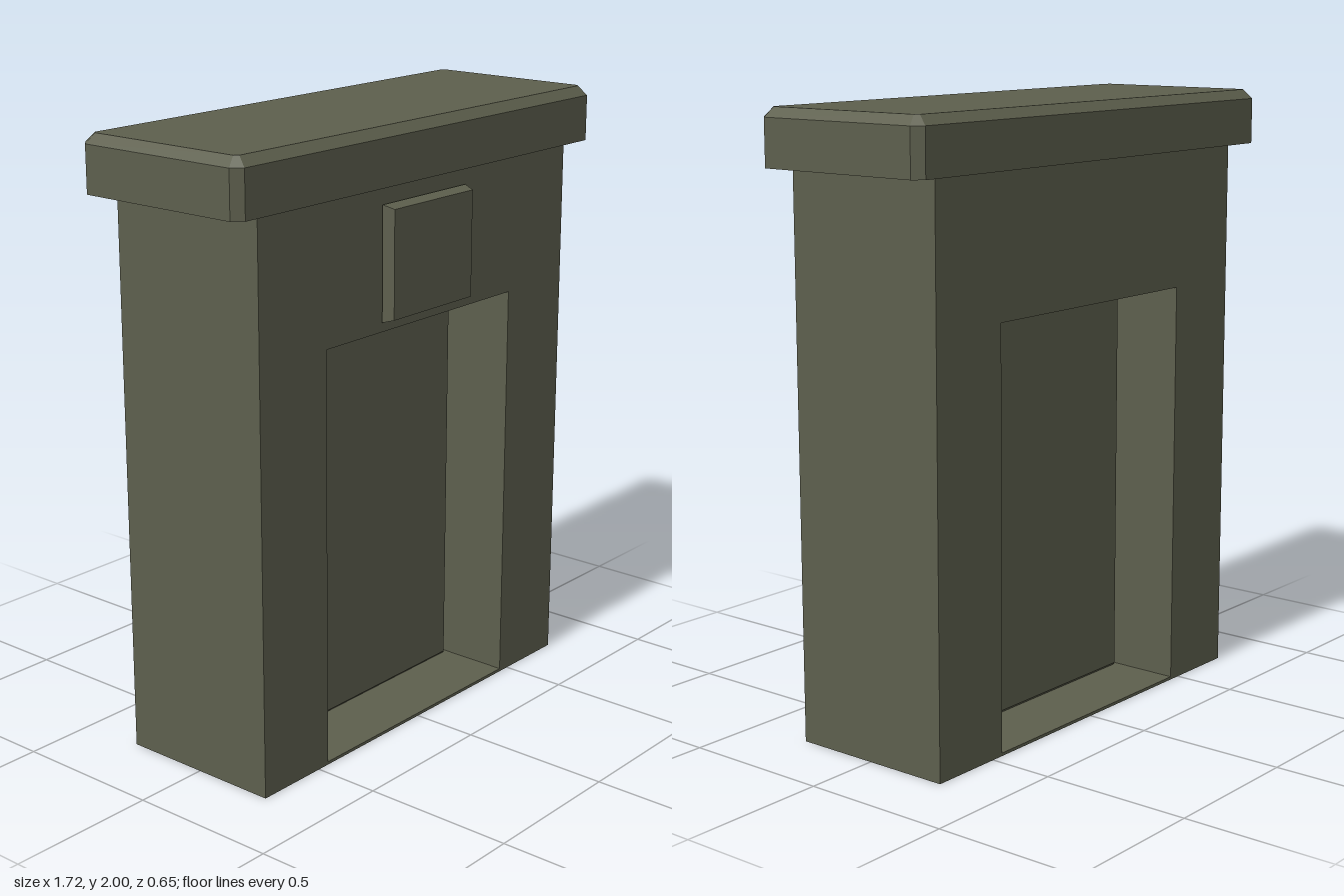
import * as THREE from 'three';

// Rectangle outline with cut corners, counter-clockwise: w and d are half sizes
function cutRect(w, d, c) {
  return c === 0
    ? [[w, -d], [w, d], [-w, d], [-w, -d]]
    : [[w - c, -d], [w, -d + c], [w, d - c], [w - c, d], [-w + c, d], [-w, d - c], [-w, -d + c], [-w + c, -d]];
}

// Solid through convex outlines stacked along z, each section being { z, pts }
function stack(sections) {
  const pos = [];
  const tri = (...pts) => pts.forEach((p) => pos.push(...p));
  const rings = sections.map(({ z, pts }) => pts.map(([x, y]) => [x, y, z]));
  const n = rings[0].length;
  for (let s = 0; s < rings.length - 1; s++) {
    for (let i = 0; i < n; i++) {
      const j = (i + 1) % n;
      const a = rings[s], b = rings[s + 1];
      tri(a[i], a[j], b[j]);
      tri(a[i], b[j], b[i]);
    }
  }
  const first = rings[0], last = rings[rings.length - 1];
  for (let i = 1; i < n - 1; i++) {
    tri(first[0], first[i + 1], first[i]);
    tri(last[0], last[i], last[i + 1]);
  }
  const geo = new THREE.BufferGeometry();
  geo.setAttribute('position', new THREE.Float32BufferAttribute(pos, 3));
  geo.computeVertexNormals();
  return geo;
}

export function createModel() {
  const group = new THREE.Group();
  const olive = new THREE.MeshStandardMaterial({ color: 0x5d5f4d });
  olive.name = 'olive stone';

  const add = (name, geo, x = 0, y = 0, z = 0) => {
    const mesh = new THREE.Mesh(geo, olive);
    mesh.name = name;
    mesh.position.set(x, y, z);
    group.add(mesh);
    return mesh;
  };

  // Wall block with a doorway running right through, above a thin threshold
  const wall = new THREE.Shape([[-0.75, 0], [0.75, 0], [0.75, 1.83], [-0.75, 1.83]]
    .map(([x, y]) => new THREE.Vector2(x, y)));
  wall.holes.push(new THREE.Path([[-0.457, 0.01], [-0.457, 1.365], [0.457, 1.365], [0.457, 0.01]]
    .map(([x, y]) => new THREE.Vector2(x, y))));
  add('wall', new THREE.ExtrudeGeometry(wall, { depth: 0.565, bevelEnabled: false }), 0, 0, -0.285);

  // Capstone with cut corners and a chamfered top edge
  const cap = stack([
    { z: 1.82, pts: cutRect(0.862, 0.318, 0.03) },
    { z: 1.97, pts: cutRect(0.862, 0.318, 0.03) },
    { z: 2.0, pts: cutRect(0.832, 0.288, 0.012) },
  ]);
  cap.rotateX(-Math.PI / 2);
  add('capstone', cap, 0, 0, -0.006);

  // Door slab set deep in the doorway, bevelled on both faces
  const doorOuter = cutRect(0.44, 0.67, 0);
  const doorInner = cutRect(0.428, 0.658, 0);
  add('door', stack([
    { z: -0.06, pts: doorInner },
    { z: -0.048, pts: doorOuter },
    { z: 0.048, pts: doorOuter },
    { z: 0.06, pts: doorInner },
  ]), 0, 0.68, -0.005);

  // Blank plaque over the doorway, tapering to its front
  add('plaque', stack([
    { z: 0.286, pts: cutRect(0.204, 0.183, 0) },
    { z: 0.324, pts: cutRect(0.193, 0.172, 0) },
  ]), 0, 1.58, 0);

  return group;
}
